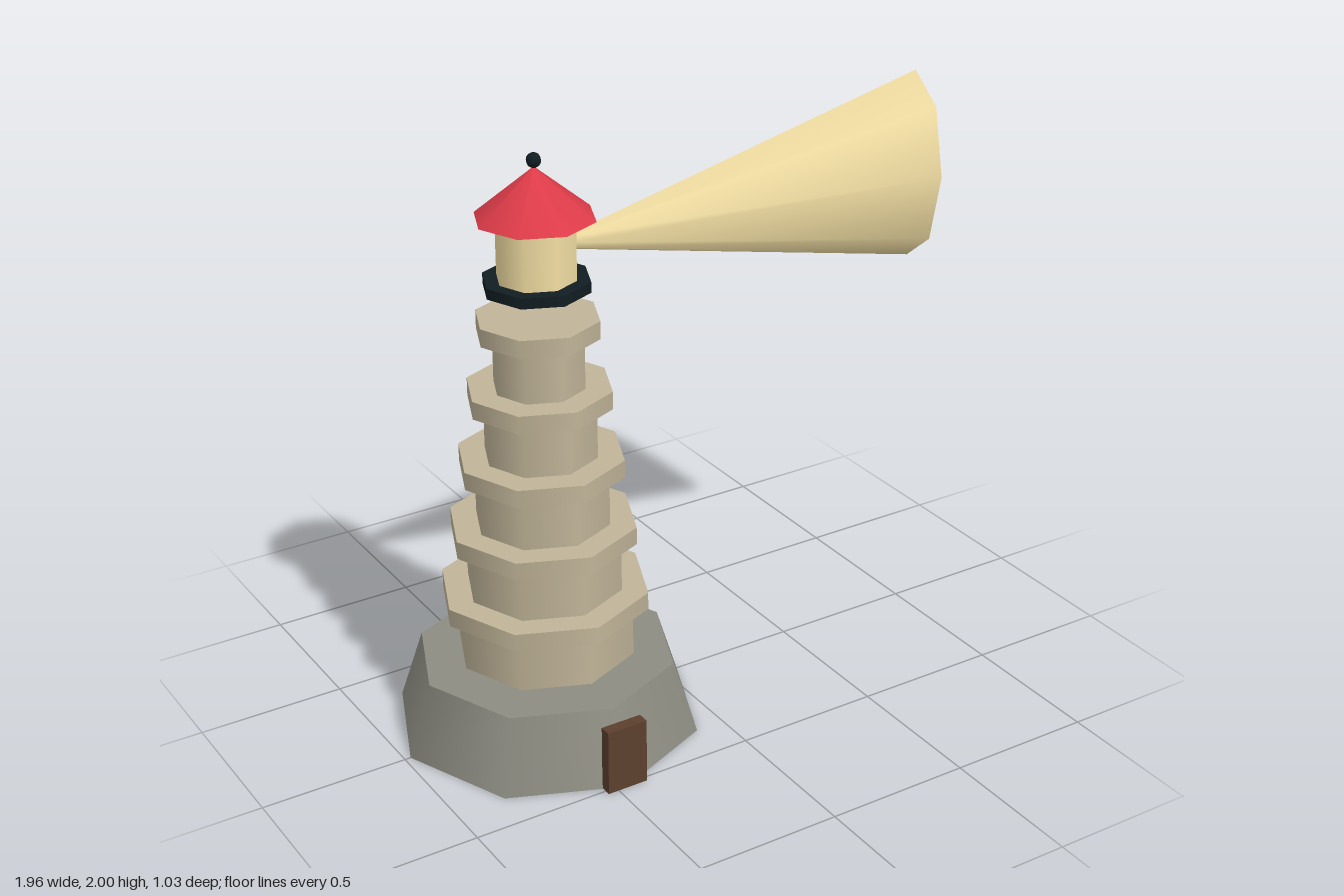
import * as THREE from 'three';

const SIDES = 8;
const AXIS_X = -0.466;

const material = (color, extra = {}) => new THREE.MeshStandardMaterial({ color, ...extra });
const stone = material(0x8c8c82);
const plaster = material(0xc0b498);
const iron = material(0x111d22);
const red = material(0xdc3b48);
const glow = material(0xf3dfa4);
const glowOpen = material(0xf3dfa4, { side: THREE.DoubleSide });
const wood = material(0x5c402e);

export function createModel() {
  const model = new THREE.Group();
  model.name = 'lighthouse';

  const tower = new THREE.Group();
  tower.name = 'tower';
  tower.position.x = AXIS_X;
  model.add(tower);

  const add = (name, geometry, mat, y = 0, z = 0) => {
    const mesh = new THREE.Mesh(geometry, mat);
    mesh.name = name;
    mesh.position.set(0, y, z);
    tower.add(mesh);
    return mesh;
  };

  // Eight-sided drum between two heights
  const drum = (name, y0, y1, rBottom, rTop, mat) =>
    add(name, new THREE.CylinderGeometry(rTop, rBottom, y1 - y0, SIDES), mat, (y0 + y1) / 2);

  // Sloped foundation and its door
  drum('base', 0, 0.25, 0.514, 0.433, stone);
  add('door', new THREE.BoxGeometry(0.142, 0.228, 0.04), wood, 0.114, 0.499);

  // Five shrinking storeys, each capped by a wider ledge
  for (let i = 0; i < 5; i++) {
    const y = 0.27 + i * 0.2365;
    const r = 0.298 - i * 0.037;
    drum(`storey${i + 1}`, y, y + 0.176, r, r, plaster);
    drum(`ledge${i + 1}`, y + 0.176, y + 0.2365, r + 0.051, r + 0.051, plaster);
  }

  // Gallery, lamp room, roof and finial
  drum('gallery', 1.545, 1.58, 0.174, 0.174, iron);
  drum('lampRoom', 1.58, 1.766, 0.129, 0.129, glow);
  add('roof', new THREE.ConeGeometry(0.194, 0.163, SIDES), red, 1.859);
  add('finial', new THREE.SphereGeometry(0.024, 8, 8), iron, 1.96);

  // Light beam: an open cone along +x, flattened in depth
  const beamGeometry = new THREE.CylinderGeometry(0.327, 0.025, 1.32, SIDES, 1, true);
  beamGeometry.rotateZ(-Math.PI / 2);
  beamGeometry.scale(1, 1, 0.5);
  const beam = new THREE.Mesh(beamGeometry, glowOpen);
  beam.name = 'lightBeam';
  beam.position.set(0.315, 1.673, 0);
  model.add(beam);

  return model;
}
